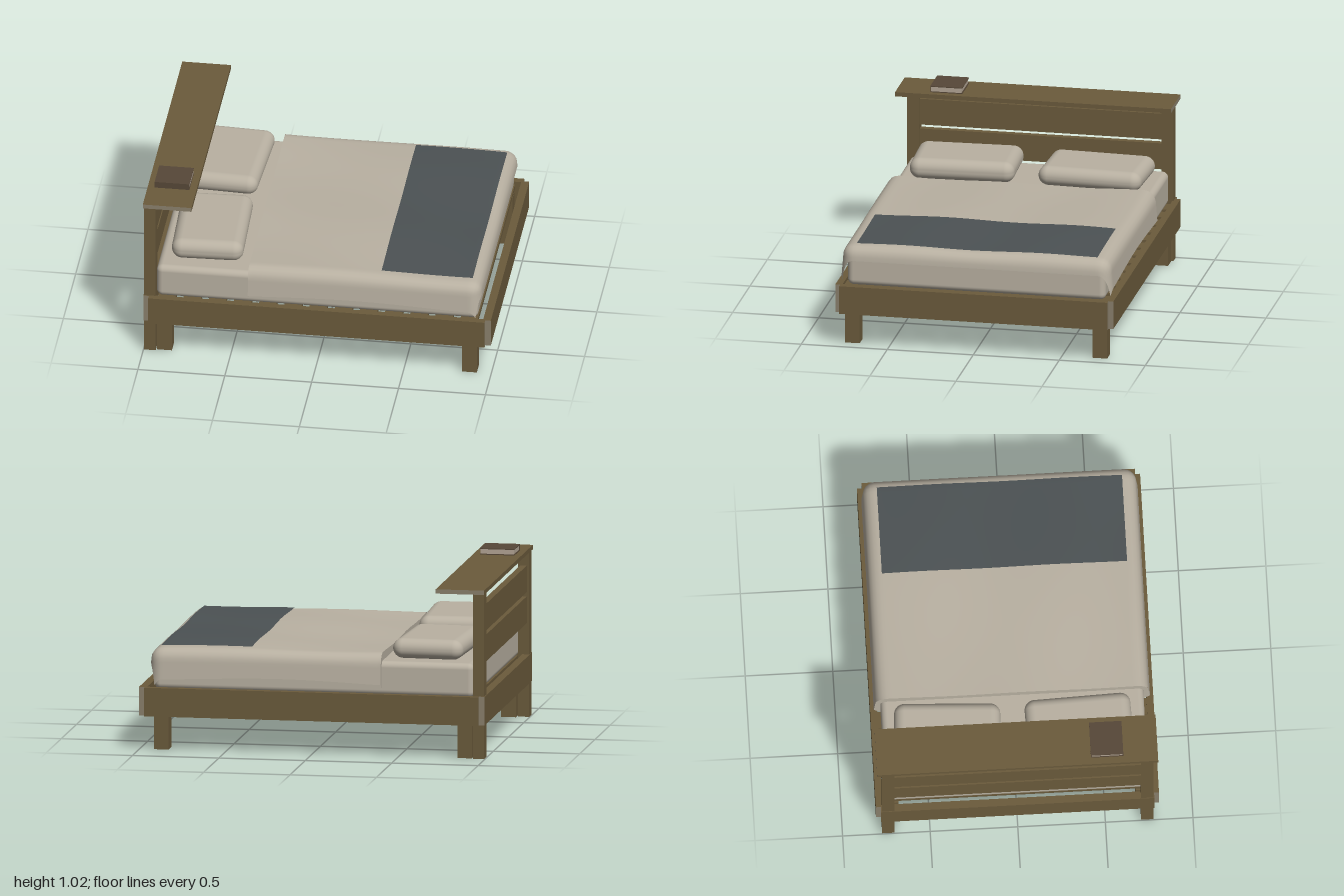
import * as THREE from 'three';
import { RoundedBoxGeometry } from 'three/addons/geometries/RoundedBoxGeometry.js';

const material = (name, color, side = THREE.FrontSide) => {
  const m = new THREE.MeshStandardMaterial({ color, side });
  m.name = name;
  return m;
};

export function createModel() {
  const wood = material('wood', 0x6b5b3c);
  const endGrain = material('end grain', 0x8a806c);
  const linen = material('linen', 0xb9b1a2, THREE.DoubleSide);
  const wool = material('grey wool', 0x4c5254, THREE.DoubleSide);
  const cover = material('book cover', 0x574838);
  const paper = material('paper', 0xb3a595);

  const bed = new THREE.Group();
  bed.name = 'bed';

  const add = (name, geometry, mat) => {
    const mesh = new THREE.Mesh(geometry, mat);
    mesh.name = name;
    bed.add(mesh);
    return mesh;
  };
  // Box given by its limits on each axis
  const box = (name, [x0, x1], [y0, y1], [z0, z1], mat = wood) => {
    const mesh = add(name, new THREE.BoxGeometry(x1 - x0, y1 - y0, z1 - z0), mat);
    mesh.position.set((x0 + x1) / 2, (y0 + y1) / 2, (z0 + z1) / 2);
    return mesh;
  };
  const endsX = [endGrain, endGrain, wood, wood, wood, wood];
  const endsZ = [wood, wood, wood, wood, endGrain, endGrain];

  // Frame: side rails, legs and headboard posts, mirrored front to back
  for (const s of [1, -1]) {
    const span = (a, b) => (s > 0 ? [a, b] : [-b, -a]);
    box('sideRail', [-0.968, 0.968], [0.2, 0.365], span(0.768, 0.808), endsX);
    box('headboardPost', [-0.996, -0.93], [0.004, 0.957], span(0.704, 0.774));
    box('headLeg', [-0.923, -0.838], [0.004, 0.3], span(0.677, 0.762));
    box('footLeg', [0.832, 0.917], [0.004, 0.3], span(0.677, 0.762));
  }
  box('footRail', [0.955, 1], [0.2, 0.365], [-0.78, 0.78], endsZ);
  box('headRail', [-1, -0.955], [0.2, 0.365], [-0.78, 0.78], endsZ);

  // Slats across the width
  const slats = 13;
  for (let i = 0; i < slats; i++) {
    const x = -0.87 + (1.74 * i) / (slats - 1);
    box('slat', [x - 0.05, x + 0.05], [0.32, 0.347], [-0.77, 0.77]);
  }

  // Headboard planks and shelf
  box('upperPlank', [-0.982, -0.944], [0.724, 0.878], [-0.705, 0.705]);
  box('lowerPlank', [-0.982, -0.944], [0.545, 0.7], [-0.705, 0.705]);
  box('shelf', [-1, -0.72], [0.957, 0.982], [-0.802, 0.802], endsZ);

  // Book: two covers, a spine and the page block
  box('bookBackCover', [-0.96, -0.76], [0.982, 0.987], [0.42, 0.605], cover);
  box('bookFrontCover', [-0.96, -0.76], [1.014, 1.019], [0.42, 0.605], cover);
  box('bookSpine', [-0.96, -0.76], [0.987, 1.014], [0.6, 0.605], cover);
  box('bookPages', [-0.956, -0.762], [0.987, 1.014], [0.425, 0.6], paper);

  // Mattress
  const mattress = add('mattress', new RoundedBoxGeometry(1.85, 0.198, 1.5, 5, 0.035), linen);
  mattress.position.set(-0.005, 0.447, 0);

  // Pillows: soft boxes that thin a little toward their edges
  for (const [z, turn, height] of [[0.373, 0.035, 0.128], [-0.383, -0.05, 0.12]]) {
    const geo = new RoundedBoxGeometry(0.41, height, 0.605, 8, 0.058);
    const p = geo.attributes.position;
    for (let i = 0; i < p.count; i++) {
      const corner = Math.abs(p.getX(i) / 0.205) * Math.abs(p.getZ(i) / 0.3025);
      p.setY(i, p.getY(i) * (1 - 0.12 * corner * corner));
    }
    const pillow = add('pillow', geo, linen);
    pillow.position.set(-0.66, 0.548 + height / 2, z);
    pillow.rotation.y = turn;
  }

  // Cloth draped over the bed: a flat point (a, b) bends down past the edges
  const EDGE_X = 0.87, EDGE_Z = 0.71, BEND = 0.07;
  const drape = (a, b, lift) => {
    const ox = Math.max(0, a - EDGE_X);
    const oz = Math.max(0, Math.abs(b) - EDGE_Z);
    const o = Math.hypot(ox, oz);
    const arc = (BEND * Math.PI) / 2;
    const rest = Math.max(0, o - arc);
    const angle = Math.min(o, arc) / BEND;
    const out = BEND * Math.sin(angle) + 0.08 * rest;
    const down = BEND * (1 - Math.cos(angle)) + rest;
    const k = o > 0 ? out / o : 0;
    const wave = 0.005 * Math.sin(4.5 * a + 1.5 * b) + 0.004 * Math.sin(8 * b - 2 * a);
    return new THREE.Vector3(
      Math.min(a, EDGE_X) + ox * k,
      0.592 + wave * (1 - Math.min(1, o / 0.1)) + lift - down,
      Math.sign(b) * (Math.min(Math.abs(b), EDGE_Z) + oz * k)
    );
  };
  const cloth = (x0, x1, zMax, lift, nx, nz) => {
    const geo = new THREE.PlaneGeometry(1, 1, nz, nx);
    const p = geo.attributes.position;
    for (let i = 0; i < p.count; i++) {
      // Plane x runs along z, plane y runs from foot to head
      const u = 0.5 - p.getY(i), v = p.getX(i) * 2;
      // Side hems wander gently along the bed
      const hem = zMax > EDGE_Z ? 0.012 * Math.sin(5 * u + 2.6) * Math.abs(v) ** 8 : 0;
      const q = drape(x0 + (x1 - x0) * u, v * zMax + Math.sign(v) * hem, lift);
      p.setXYZ(i, q.x, q.y, q.z);
    }
    geo.computeVertexNormals();
    return geo;
  };
  add('duvet', cloth(-0.398, 1.0, 0.92, 0, 60, 80), linen);
  add('throwBlanket', cloth(0.36, 0.885, 0.7, 0.008, 30, 60), wool);

  // Turned edge closing the duvet down onto the mattress at the head end
  const points = [], index = [], n = 80;
  for (let i = 0; i <= n; i++) {
    const q = drape(-0.398, 0.92 * (2 * i / n - 1), 0);
    points.push(q.x, q.y, q.z, q.x, Math.min(q.y, 0.592) - 0.05, q.z * 0.94);
    if (i < n) index.push(2 * i, 2 * i + 1, 2 * i + 2, 2 * i + 1, 2 * i + 3, 2 * i + 2);
  }
  const lip = new THREE.BufferGeometry();
  lip.setAttribute('position', new THREE.Float32BufferAttribute(points, 3));
  lip.setIndex(index);
  lip.computeVertexNormals();
  add('duvetEdge', lip, linen);

  return bed;
}
